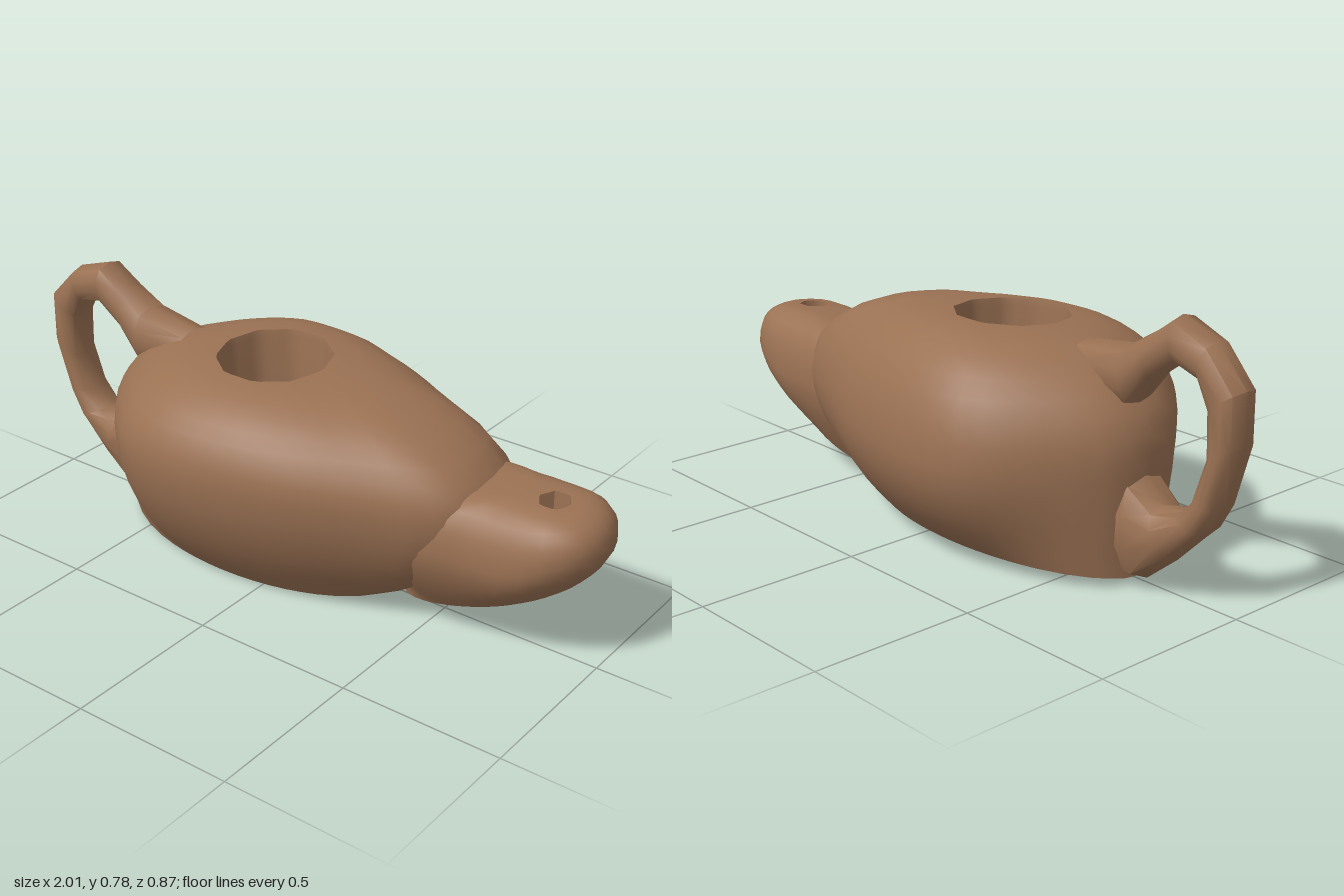
import * as THREE from 'three';
import { toCreasedNormals } from 'three/addons/utils/BufferGeometryUtils.js';

const clay = new THREE.MeshStandardMaterial({ color: 0x9a7153, side: THREE.DoubleSide });
clay.name = 'brown clay';

// Skin a list of equally long closed rings of points.
function loft(rings, crease) {
  const n = rings[0].length, pos = [], index = [];
  rings.forEach(r => r.forEach(p => pos.push(...p)));
  for (let i = 0; i < rings.length - 1; i++) {
    for (let j = 0; j < n; j++) {
      const a = i * n + j, b = i * n + (j + 1) % n;
      index.push(a, b, a + n, b, b + n, a + n);
    }
  }
  const g = new THREE.BufferGeometry();
  g.setAttribute('position', new THREE.Float32BufferAttribute(pos, 3));
  g.setIndex(index);
  return toCreasedNormals(g, crease);
}

// Rounded vessel: a well, a crown sweeping out to the outline, and a belly closing on the base.
// top, mid and base give the height of each level as a function of x and z.
function vessel(o) {
  const mirrored = o.half.slice().reverse().map(([x, z]) => [x, -z]);
  const curve = new THREE.CatmullRomCurve3(
    [...o.half, ...mirrored].map(([x, z]) => new THREE.Vector3(x, 0, z)), true, 'centripetal');
  const outline = curve.getSpacedPoints(o.columns).slice(0, o.columns);
  const [hx, hz] = o.hole, [bx, bz] = o.baseCentre, [brx, brz] = o.baseRadii;
  const step = 2 * Math.PI / o.holeSides;
  const rim = outline.map(p => {
    const a = Math.atan2(p.z - hz, p.x - hx);
    const m = ((a % step) + step) % step - step / 2;
    const r = o.holeR * Math.cos(step / 2) / Math.cos(m);
    return [Math.cos(a) * r, Math.sin(a) * r];
  });
  const foot = outline.map(p => {
    const a = Math.atan2((p.z - bz) / brz, (p.x - bx) / brx);
    return [bx + Math.cos(a) * brx, bz + Math.sin(a) * brz];
  });
  const rings = [];
  const put = f => rings.push(outline.map(f));
  // well, from its floor up to the rim
  for (const [s, drop] of [[0, o.depth], [0.95, o.depth], [0.98, 0.02]]) {
    put((p, j) => {
      const x = hx + rim[j][0] * s, z = hz + rim[j][1] * s;
      return [x, o.top(x, z) - drop, z];
    });
  }
  // crown
  for (let k = 0; k <= 8; k++) {
    const s = Math.sin(k / 8 * Math.PI / 2);
    const lift = Math.max(0, 1 - s ** o.power) ** (1 / o.power);
    put((p, j) => {
      const rx = hx + rim[j][0], rz = hz + rim[j][1];
      const x = rx + (p.x - rx) * s, z = rz + (p.z - rz) * s, mid = o.mid(p.x, z);
      return [x, mid + (o.top(x, z) - mid) * lift, z];
    });
  }
  // belly
  for (let k = 1; k <= 7; k++) {
    const d = k / 7, h = 1 - d ** o.belly;
    put((p, j) => {
      const [fx, fz] = foot[j], mid = o.mid(p.x, p.z);
      return [fx + (p.x - fx) * h, mid + (o.base(fx, fz) - mid) * d, fz + (p.z - fz) * h];
    });
  }
  // underside
  put(() => [bx, o.base(bx, bz), bz]);
  return loft(rings, 0.7);
}

// Loop handle from pairs of outer and inner points, a half thickness and a sideways shift.
function handleGeometry() {
  const sections = [
    [-0.42, 0.645, -0.45, 0.50, 0.075, 0.02], [-0.60, 0.67, -0.62, 0.50, 0.08, 0.01],
    [-0.68, 0.72, -0.69, 0.59, 0.07, 0.015], [-0.76, 0.78, -0.77, 0.65, 0.065, 0.02],
    [-0.89, 0.735, -0.86, 0.63, 0.065, 0.01], [-1.0, 0.63, -0.90, 0.56, 0.065, 0],
    [-1.0, 0.48, -0.905, 0.43, 0.065, 0], [-0.955, 0.30, -0.87, 0.31, 0.065, -0.01],
    [-0.91, 0.22, -0.82, 0.255, 0.07, -0.01], [-0.80, 0.11, -0.74, 0.25, 0.08, -0.01],
    [-0.69, 0.02, -0.66, 0.33, 0.095, -0.01], [-0.50, 0.04, -0.45, 0.30, 0.1, 0]];
  const n = 10;
  return loft(sections.map(([ox, oy, ix, iy, w, shift]) => Array.from({ length: n }, (_, j) => {
    const t = j / n * 2 * Math.PI;
    const f = (1 + Math.cos(t)) / 2;
    const s = Math.sin(t);
    const z = shift - Math.sign(s) * Math.abs(s) ** 0.7 * w;
    return [ix + (ox - ix) * f, iy + (oy - iy) * f, z];
  })), 0.8);
}

export function createModel() {
  const lamp = new THREE.Group();
  lamp.name = 'oilLamp';
  const add = (name, geometry) => {
    const mesh = new THREE.Mesh(geometry, clay);
    mesh.name = name;
    lamp.add(mesh);
  };

  add('body', vessel({
    half: [[0.67, 0.07], [0.63, 0.16], [0.56, 0.208], [0.46, 0.25], [0.35, 0.3], [0.2, 0.365], [0, 0.418],
      [-0.2, 0.435], [-0.36, 0.405], [-0.48, 0.32], [-0.6, 0.19], [-0.665, 0.09]],
    columns: 44, hole: [-0.105, 0.025], holeR: 0.175, holeSides: 10, depth: 0.35,
    top: (x, z) => 0.652 - 0.05 * z,
    mid: (x, z) => 0.375 + 0.1 * z,
    base: (x, z) => 0.02 - 0.08 * z,
    power: 2, belly: 2, baseCentre: [-0.16, -0.02], baseRadii: [0.51, 0.255],
  }));

  add('spout', vessel({
    half: [[1.0, 0.05], [0.96, 0.125], [0.88, 0.168], [0.75, 0.184], [0.62, 0.192], [0.5, 0.205], [0.4, 0.16]],
    columns: 32, hole: [0.84, 0.012], holeR: 0.048, holeSides: 6, depth: 0.12,
    top: (x, z) => 0.485 - 0.07 * z,
    mid: x => 0.3 + 0.08 * THREE.MathUtils.smoothstep(x, 0.75, 1),
    base: x => 0.07 + (x - 0.5) * 0.28,
    power: 2.4, belly: 1.7, baseCentre: [0.58, -0.01], baseRadii: [0.22, 0.11],
  }));

  add('handle', handleGeometry());
  return lamp;
}
